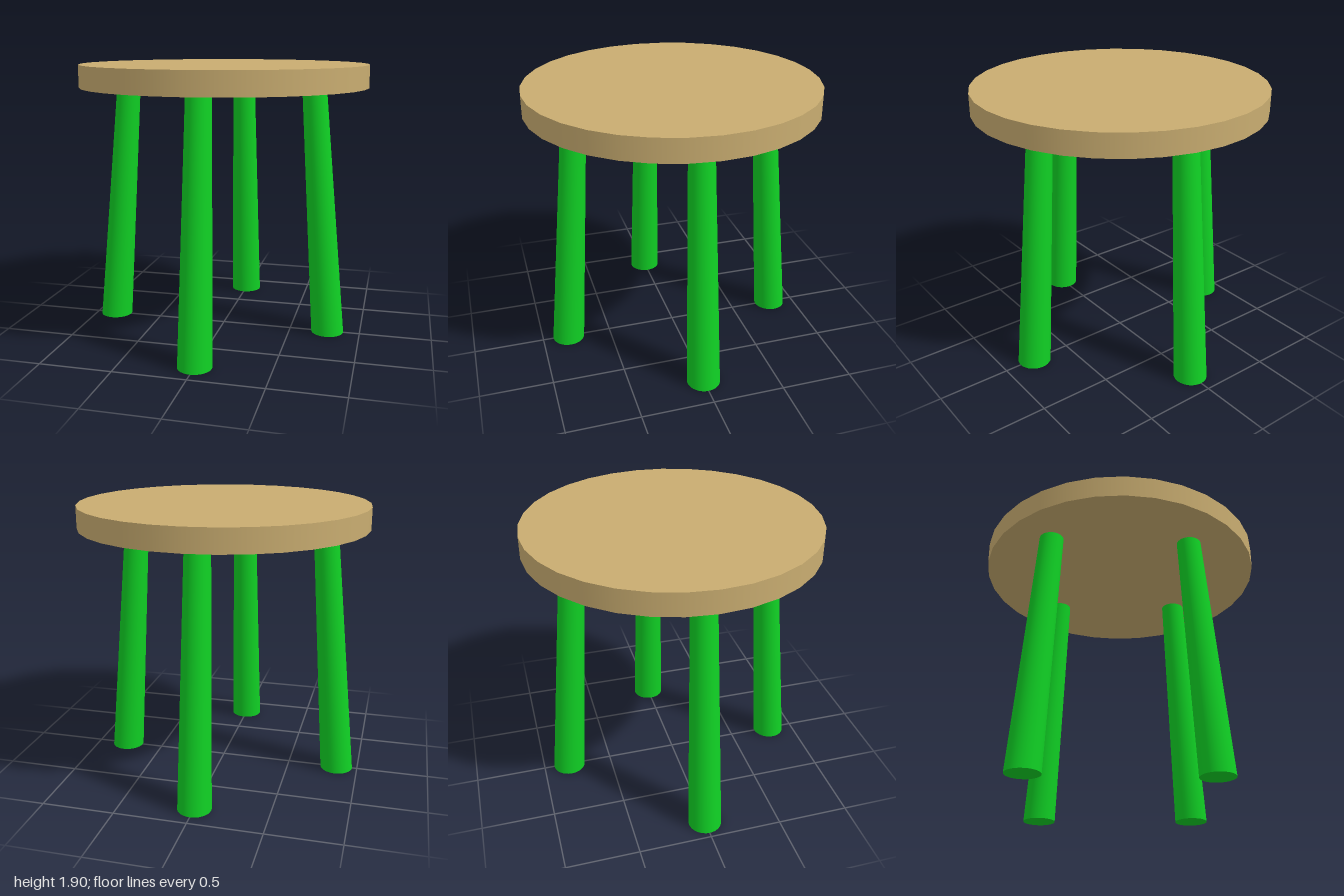
import * as THREE from 'three';

const SEAT_BOTTOM = 1.75;
const SEAT_TOP = 1.905;

// Tapered leg sheared so both ends stay level; foot and top are [x, z] centres
function makeLeg(name, foot, top, material) {
  const geometry = new THREE.CylinderGeometry(0.084, 0.115, SEAT_BOTTOM, 32);
  geometry.translate(0, SEAT_BOTTOM / 2, 0);
  const shearX = (top[0] - foot[0]) / SEAT_BOTTOM;
  const shearZ = (top[1] - foot[1]) / SEAT_BOTTOM;
  geometry.applyMatrix4(new THREE.Matrix4().set(
    1, shearX, 0, foot[0],
    0, 1, 0, 0,
    0, shearZ, 1, foot[1],
    0, 0, 0, 1
  ));
  geometry.computeBoundingSphere();
  const leg = new THREE.Mesh(geometry, material);
  leg.name = name;
  return leg;
}

export function createModel() {
  const model = new THREE.Group();
  model.name = 'stool';
  const wood = new THREE.MeshStandardMaterial({ color: 0xc8ac70 });
  const green = new THREE.MeshStandardMaterial({ color: 0x10d024 });

  // Round seat
  const seat = new THREE.Mesh(
    new THREE.CylinderGeometry(1, 1, SEAT_TOP - SEAT_BOTTOM, 32), wood);
  seat.position.y = (SEAT_TOP + SEAT_BOTTOM) / 2;
  seat.name = 'seat';
  model.add(seat);

  // Four splayed legs, one per axis direction
  const legs = [
    ['frontLeg', [0, 0.81], [0, 0.67]],
    ['backLeg', [0, -0.813], [0, -0.672]],
    ['leftLeg', [0.77, 0], [0.635, 0]],
    ['rightLeg', [-0.85, 0], [-0.705, 0]],
  ];
  for (const [name, foot, top] of legs) model.add(makeLeg(name, foot, top, green));

  return model;
}
